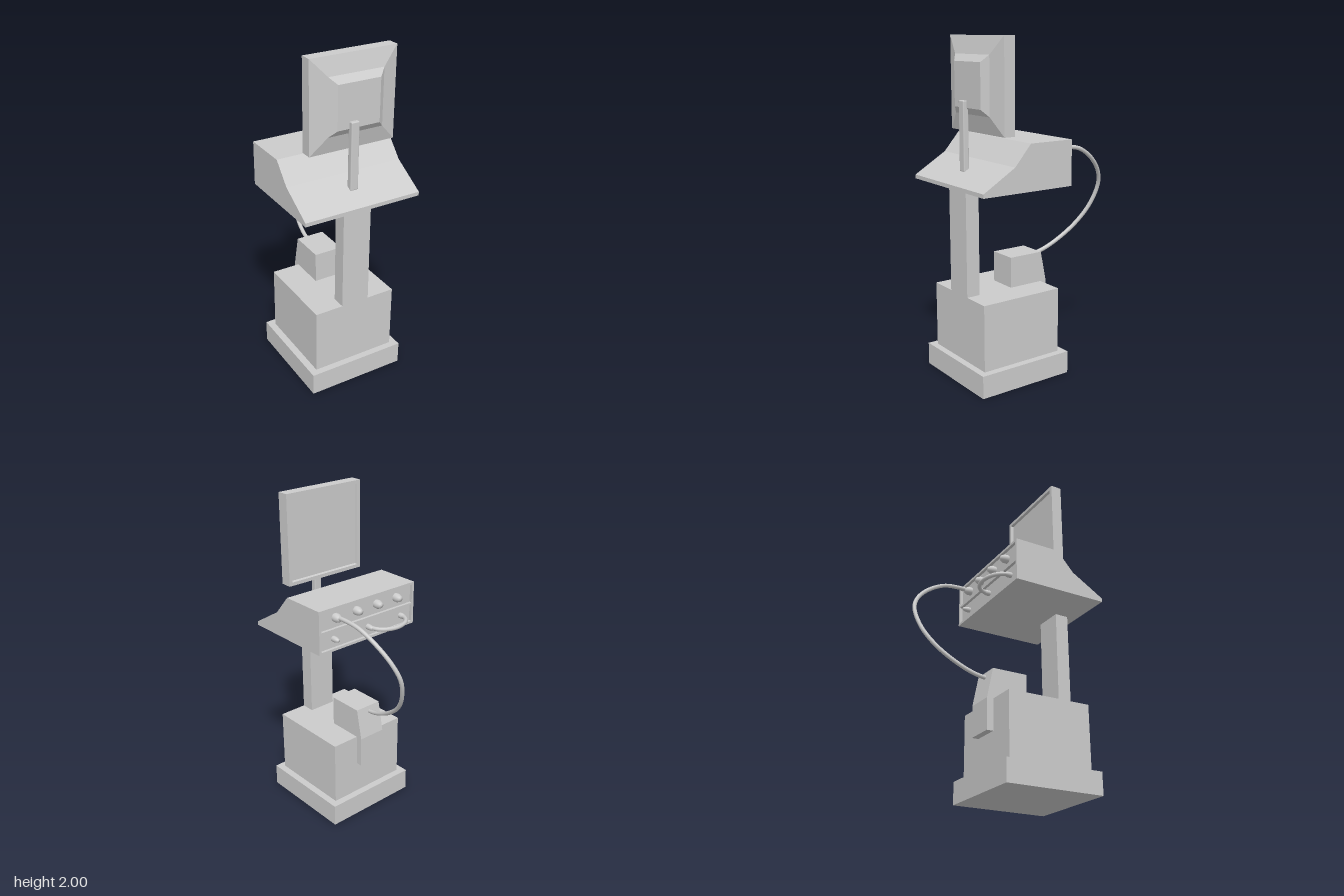
import * as THREE from 'three';
import { RoundedBoxGeometry } from 'three/addons/geometries/RoundedBoxGeometry.js';

const material = new THREE.MeshStandardMaterial({ color: 0xcccccc });

function add(parent, name, geometry, x = 0, y = 0, z = 0) {
  const mesh = new THREE.Mesh(geometry, material);
  mesh.name = name;
  mesh.position.set(x, y, z);
  parent.add(mesh);
  return mesh;
}

// Box given by its width and its y and z ranges, centred on x
function block(parent, name, w, y0, y1, z0, z1) {
  return add(parent, name, new THREE.BoxGeometry(w, y1 - y0, z1 - z0), 0, (y0 + y1) / 2, (z0 + z1) / 2);
}

// Side profile of [z, y] points, extruded across x
function sideExtrude(points, width) {
  const shape = new THREE.Shape(points.map(p => new THREE.Vector2(...p)));
  return new THREE.ExtrudeGeometry(shape, { depth: width, bevelEnabled: false })
    .rotateY(-Math.PI / 2).translate(width / 2, 0, 0);
}

function rectPath(x0, y0, x1, y1, PathType = THREE.Path) {
  return new PathType([[x0, y0], [x1, y0], [x1, y1], [x0, y1]].map(p => new THREE.Vector2(...p)));
}

// Flat-shaded loft through rectangles [halfWidth, halfHeight, z], capped at both ends
function rectLoft(rings) {
  const corners = rings.map(([w, h, z]) => [[-w, -h, z], [w, -h, z], [w, h, z], [-w, h, z]]);
  const pos = [];
  const quad = (a, b, c, d) => pos.push(...a, ...b, ...c, ...a, ...c, ...d);
  for (let r = 0; r < corners.length - 1; r++) {
    const a = corners[r], b = corners[r + 1];
    for (let i = 0; i < 4; i++) {
      const j = (i + 1) % 4;
      quad(a[i], a[j], b[j], b[i]);
    }
  }
  const first = corners[0], last = corners[corners.length - 1];
  quad(first[3], first[2], first[1], first[0]);
  quad(...last);
  const geometry = new THREE.BufferGeometry();
  geometry.setAttribute('position', new THREE.Float32BufferAttribute(pos, 3));
  geometry.computeVertexNormals();
  return geometry;
}

function hose(parent, name, points, radius, segments) {
  const curve = new THREE.CatmullRomCurve3(points.map(p => new THREE.Vector3(...p)));
  return add(parent, name, new THREE.TubeGeometry(curve, segments, radius, 10), 0, 0, 0);
}

export function createModel() {
  const model = new THREE.Group();
  model.name = 'consoleCart';

  // Stand
  block(model, 'base', 0.61, 0, 0.135, -0.125, 0.485);
  block(model, 'cabinet', 0.524, 0.135, 0.53, -0.082, 0.445);
  block(model, 'column', 0.176, 0.53, 1.17, 0.36, 0.445);

  // Pump pod that hangs over the cabinet edge
  add(model, 'pumpPod', sideExtrude([
    [0.138, 0.53], [-0.082, 0.53], [-0.082, 0.34], [-0.123, 0.34],
    [-0.123, 0.53], [-0.085, 0.715], [0.138, 0.715],
  ].reverse(), 0.176));

  // Console body with its sloped side
  const unit = new THREE.Group();
  unit.name = 'console';
  model.add(unit);
  add(unit, 'consoleBody', sideExtrude([
    [-0.068, 1.165], [0.51, 1.165], [0.51, 1.188], [0.305, 1.31], [0.2, 1.43], [-0.068, 1.43],
  ], 0.73));

  // Frame around two recessed control panels
  const frame = rectPath(-0.365, 1.165, 0.365, 1.43, THREE.Shape);
  frame.holes.push(rectPath(-0.35, 1.18, 0.35, 1.288), rectPath(-0.35, 1.3, 0.35, 1.415));
  add(unit, 'panelFrame', new THREE.ExtrudeGeometry(frame, { depth: 0.018, bevelEnabled: false }), 0, 0, -0.086);

  // Knobs and sockets
  const knobGeometry = r => new THREE.LatheGeometry(
    [[r, 0], [r, 0.024], [r * 0.6, 0.046], [0, 0.049]].map(p => new THREE.Vector2(...p)), 16).rotateX(-Math.PI / 2);
  for (const x of [0.235, 0.08, -0.075, -0.23]) add(unit, 'knob', knobGeometry(0.026), x, 1.36, -0.067);
  for (const x of [0.25, -0.01, -0.27]) add(unit, 'socket', knobGeometry(0.017), x, 1.234, -0.067);

  // Hoses
  hose(model, 'mainHose', [
    [0.236, 1.365, -0.08], [0.234, 1.365, -0.16], [0.226, 1.348, -0.26], [0.2, 1.275, -0.38],
    [0.165, 1.18, -0.465], [0.132, 1.09, -0.495], [0.09, 0.96, -0.465], [0.045, 0.84, -0.385],
    [0.012, 0.745, -0.265], [-0.003, 0.695, -0.16], [-0.008, 0.678, -0.08],
  ], 0.0125, 48);
  hose(model, 'shortHose', [
    [-0.01, 1.236, -0.08], [-0.02, 1.234, -0.125], [-0.06, 1.232, -0.165], [-0.14, 1.23, -0.185],
    [-0.22, 1.232, -0.165], [-0.26, 1.234, -0.125], [-0.27, 1.236, -0.08],
  ], 0.0125, 28);

  // Monitor: recessed screen, bezel, casing and stepped housing
  add(model, 'monitor', rectLoft([
    [0.243, 0.243, 0.275], [0.247, 0.247, 0.258], [0.269, 0.268, 0.258], [0.269, 0.268, 0.328],
    [0.172, 0.166, 0.357], [0.132, 0.127, 0.389],
  ]), 0.031, 1.732, 0);
  add(model, 'monitorArm', new RoundedBoxGeometry(0.05, 0.4, 0.035, 2, 0.006), -0.002, 1.446, 0.394);

  return model;
}
